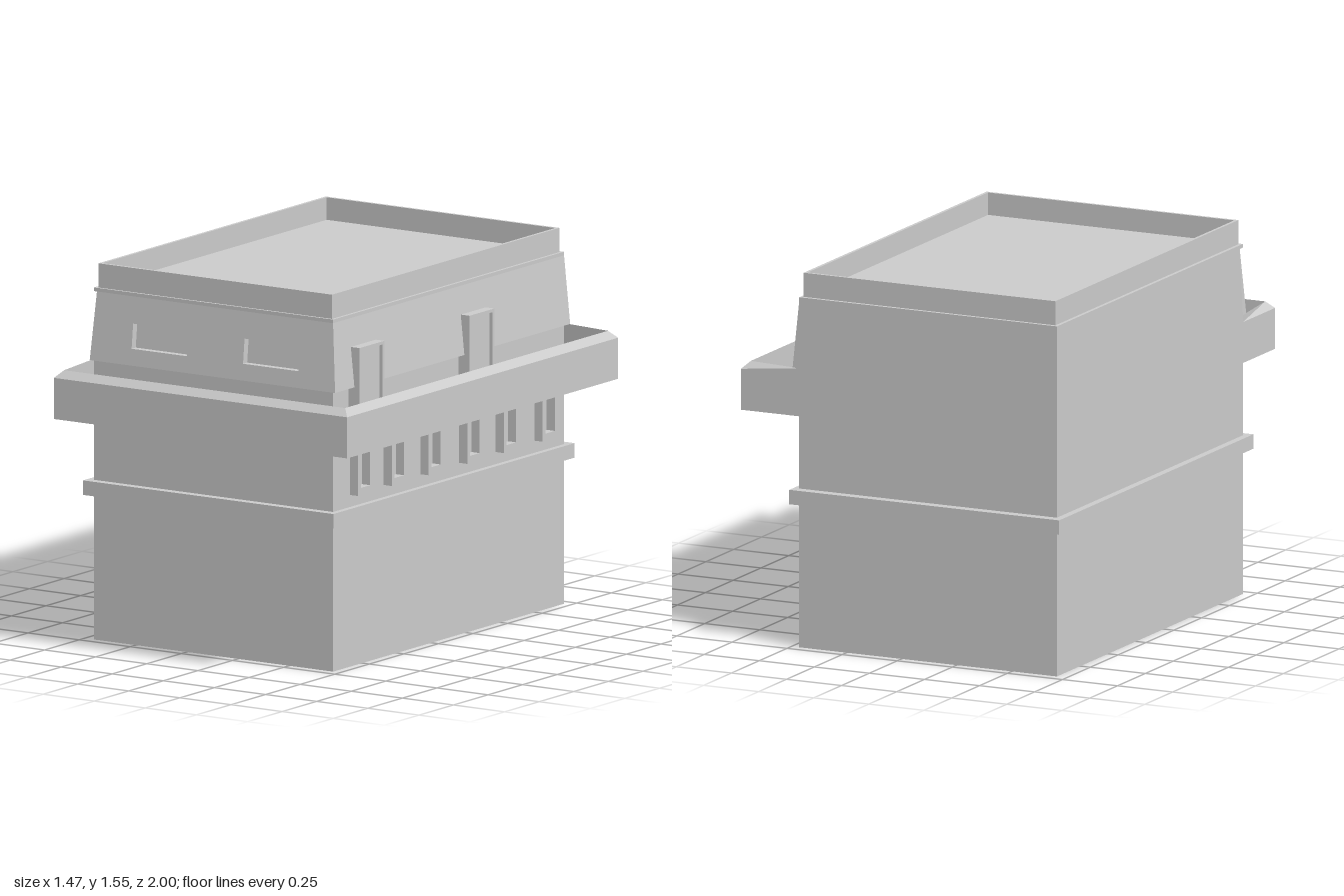
import * as THREE from 'three';

const material = new THREE.MeshStandardMaterial({ color: 0xcccccc, flatShading: true });

// Shared footprint of the building
const X0 = -0.705, X1 = 0.465, Z0 = -0.96, Z1 = 0.71;
const FLOOR = 1.0, BASE = 1.16, TOP = 1.44, LEAN = 0.03;

function add(parent, name, geometry) {
  const mesh = new THREE.Mesh(geometry, material);
  mesh.name = name;
  parent.add(mesh);
  return mesh;
}

// Box given by its limits
function block(x0, x1, y0, y1, z0, z1) {
  return new THREE.BoxGeometry(x1 - x0, y1 - y0, z1 - z0)
    .translate((x0 + x1) / 2, (y0 + y1) / 2, (z0 + z1) / 2);
}

function polygon(points) {
  return new THREE.Shape(points.map(([x, y]) => new THREE.Vector2(x, y)));
}

function rect(x0, x1, y0, y1) {
  return polygon([[x0, y0], [x1, y0], [x1, y1], [x0, y1]]);
}

function extrude(shape, depth) {
  return new THREE.ExtrudeGeometry(shape, { depth, bevelEnabled: false });
}

// Move vertices by a rule
function deform(geometry, rule) {
  const p = geometry.attributes.position;
  const v = new THREE.Vector3();
  for (let i = 0; i < p.count; i++) {
    v.fromBufferAttribute(p, i);
    rule(v);
    p.setXYZ(i, v.x, v.y, v.z);
  }
  geometry.computeVertexNormals();
  return geometry;
}

// Rectangular surround on the right-hand wall, open in the middle
function sideFrame(z, width, y0, y1, border, bottomBorder, depth) {
  const shape = rect(-width / 2, width / 2, y0, y1);
  shape.holes.push(rect(-width / 2 + border, width / 2 - border, y0 + bottomBorder, y1 - border));
  return extrude(shape, depth).rotateY(Math.PI / 2).translate(X1, 0, z);
}

// Balcony wall: a chamfered section carried round the outer edge, thinning to nothing at both ends
function balconyParapet() {
  const profile = [[0, 0.96], [0, 1.13], [0.03, BASE], [0.03, FLOOR]];
  const path = [
    () => [X0, Z1],
    d => [X0 + d, 1 - d],
    d => [0.73 - d, 1 - d],
    d => [0.73 - d, Z0 + d],
    () => [X1, Z0],
  ];
  const positions = [], index = [], n = profile.length;
  for (const corner of path) {
    for (const [d, y] of profile) {
      const [x, z] = corner(d);
      positions.push(x, y, z);
    }
  }
  for (let i = 0; i < path.length - 1; i++) {
    for (let j = 0; j < n; j++) {
      const k = (j + 1) % n;
      const a = i * n + j, b = a + n, c = (i + 1) * n + k, d = i * n + k;
      index.push(a, b, c, a, c, d);
    }
  }
  const g = new THREE.BufferGeometry();
  g.setAttribute('position', new THREE.Float32BufferAttribute(positions, 3));
  g.setIndex(index);
  g.computeVertexNormals();
  return g;
}

export function createModel() {
  const model = new THREE.Group();
  model.name = 'building';

  // Lower storeys and string course
  add(model, 'lowerWalls', block(X0, X1, 0, BASE, Z0, Z1));
  add(model, 'stringCourse', block(-0.735, 0.49, 0.6, 0.66, -1.0, 0.745));

  // Small framed windows under the balcony
  for (const z of [0.535, 0.29, 0.025, -0.255, -0.52, -0.8]) {
    add(model, 'sideWindowFrame', sideFrame(z, 0.108, 0.71, 0.905, 0.02, 0.03, 0.04));
  }

  // L-shaped balcony round the front and right side
  const balcony = new THREE.Group();
  balcony.name = 'balcony';
  model.add(balcony);
  const plan = polygon([[X0, -1], [0.73, -1], [0.73, -Z0], [X1, -Z0], [X1, -Z1], [X0, -Z1]]);
  add(balcony, 'balconyFloor', extrude(plan, FLOOR - 0.96).rotateX(-Math.PI / 2).translate(0, 0.96, 0));
  add(balcony, 'balconyParapet', balconyParapet());

  // Upper storey: front and right walls lean inwards
  const lean = y => LEAN * (TOP - y) / (TOP - BASE);
  const recess = 0.03;
  add(model, 'upperWalls', deform(block(X0, X1, BASE, TOP, Z0, Z1 - recess), v => {
    if (v.x > 0) v.x += lean(v.y);
    if (v.z > 0) v.z += lean(v.y);
  }));

  // Front wall with two recessed windows
  const front = polygon([[X0, BASE], [X1 + LEAN, BASE], [X1, TOP], [X0 + 0.015, TOP]]);
  for (const x of [-0.505, 0.04]) front.holes.push(rect(x, x + 0.27, 1.228, 1.33));
  add(model, 'upperFrontWall', deform(extrude(front, recess), v => {
    v.z += Z1 - recess + lean(v.y);
  }));

  // Balcony doors with raised frames
  for (const z of [0.51, -0.285]) {
    add(model, 'doorFrame', sideFrame(z, 0.18, FLOOR, 1.325, 0.013, 0, 0.055));
    add(model, 'doorPanel', block(X1 - 0.02, X1 + 0.04, FLOOR, 1.315, z - 0.08, z + 0.08));
  }

  // Stepped ledge, roof deck and thin roof parapet
  const rx0 = -0.69, rx1 = 0.453, rz0 = -0.945, rz1 = 0.70;
  add(model, 'roofLedge', block(X0, X1, TOP, 1.455, Z0, Z1));
  add(model, 'roofDeck', block(rx0, rx1, 1.45, 1.462, rz0, rz1));
  const rim = rect(rx0, rx1, -rz1, -rz0);
  const t = 0.013;
  rim.holes.push(rect(rx0 + t, rx1 - t, -rz1 + t, -rz0 - t));
  add(model, 'roofParapet', extrude(rim, 0.1).rotateX(-Math.PI / 2).translate(0, 1.455, 0));

  return model;
}
